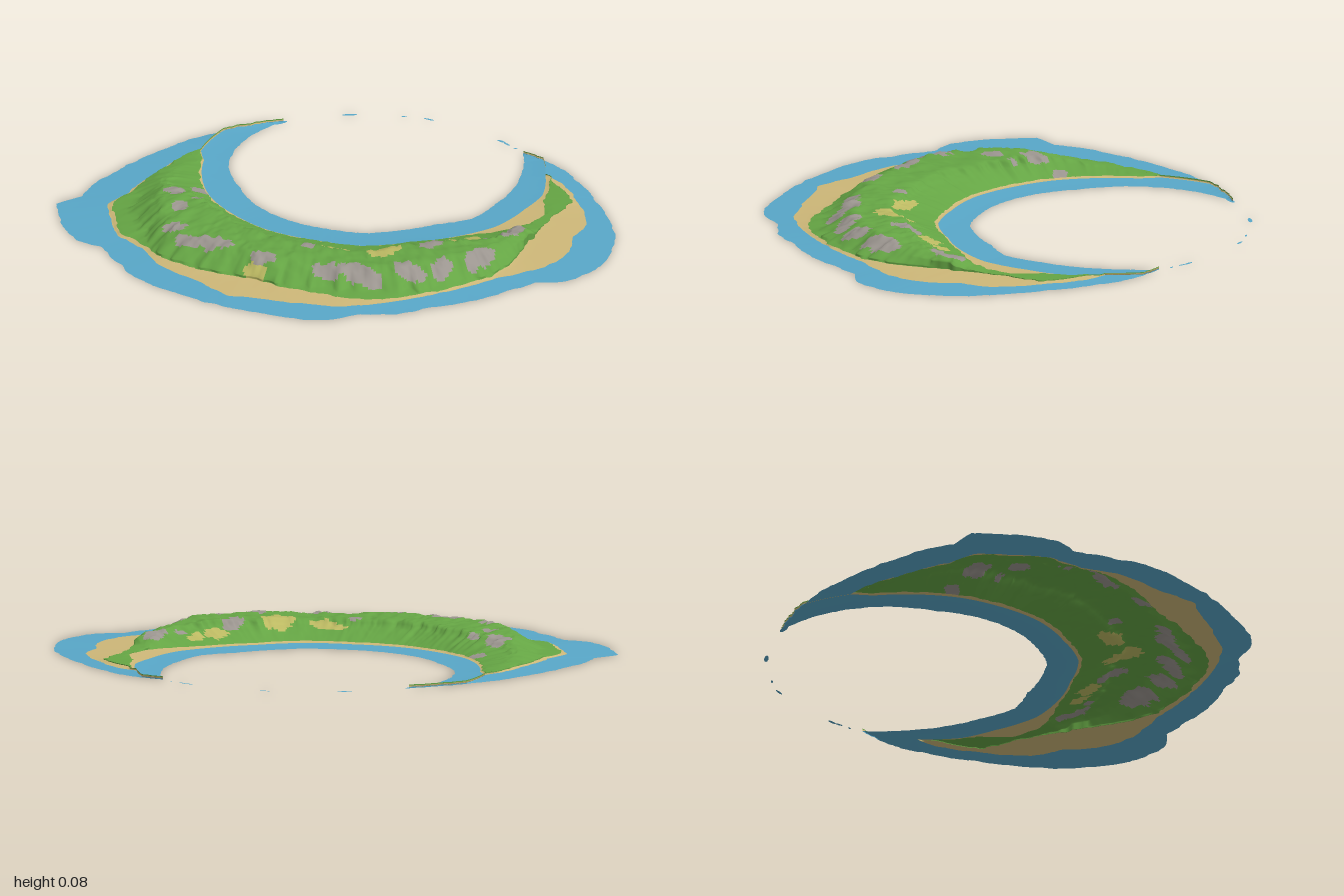
import * as THREE from 'three';

const CX = -0.12, CZ = -0.38; // centre of the lagoon; outlines are radii around it
const { lerp, clamp, degToRad } = THREE.MathUtils;

// Piecewise curve: angle in degrees, value, angle, value...
function curve(...p) {
  return a => {
    if (a <= p[0]) return p[1];
    for (let i = 2; i < p.length; i += 2) {
      if (a <= p[i]) return lerp(p[i - 1], p[i + 1], (a - p[i - 2]) / (p[i] - p[i - 2]));
    }
    return p[p.length - 1];
  };
}

// Smooth value noise in the range -1..1
function hash(x, y) {
  const s = Math.sin(x * 127.1 + y * 311.7) * 43758.5453;
  return (s - Math.floor(s)) * 2 - 1;
}
function noise(x, y) {
  const ix = Math.floor(x), iy = Math.floor(y);
  const u = THREE.MathUtils.smoothstep(x - ix, 0, 1), v = THREE.MathUtils.smoothstep(y - iy, 0, 1);
  return lerp(lerp(hash(ix, iy), hash(ix + 1, iy), u), lerp(hash(ix, iy + 1), hash(ix + 1, iy + 1), u), v);
}

// Outlines of the shallows, the beach and the grass
const waterOuter = curve(-45, .575, -34.6, .67, -25, .737, -13, .84, -4, .944, 2, 1.03, 9, 1.1, 14, 1.147,
  19, 1.17, 24.3, 1.168, 29, 1.12, 35.3, 1.128, 43.3, 1.16, 51.3, 1.18, 57.4, 1.22, 63.5, 1.212, 68.3, 1.272,
  72.4, 1.29, 80.8, 1.268, 90, 1.262, 97.9, 1.252, 104.2, 1.246, 111.4, 1.2, 118.7, 1.17, 123, 1.218,
  130.5, 1.21, 134.3, 1.187, 138.5, 1.178, 140.7, 1.07, 145.2, 1.022, 152, .933, 160.5, .834, 169, .763,
  180, .68, 191.6, .61, 199.8, .568, 205.6, .545);
const waterInner = curve(-45, .575, -31, .55, -16, .535, 1, .524, 18.6, .536, 33.7, .5, 50.6, .505, 63.7, .519,
  79, .507, 100, .505, 115, .502, 136.8, .492, 157.6, .52, 173, .533, 187, .54, 205.6, .545);
const landOuter = curve(-25.5, .634, -20.5, .7, -11, .78, 1.4, .904, 9, .926, 14.7, .99, 20, 1.023, 25.2, 1.029,
  35, 1.02, 42.5, 1.045, 51.6, 1.085, 59, 1.127, 67.6, 1.163, 77, 1.157, 84, 1.165, 87, 1.183, 94.6, 1.132,
  106, 1.107, 113, 1.057, 120.7, 1.07, 128.2, 1.028, 135.4, 1, 139.8, .903, 152, .768, 163.3, .687, 168, .645);
const landInner = curve(-25.5, .634, -10.9, .653, 1, .642, 17.7, .651, 29.8, .635, 47.5, .617, 64.5, .634,
  81, .617, 98.4, .622, 116.8, .617, 131.5, .621, 147.4, .616, 161, .616, 168, .645);
const grassOuter = curve(-21.5, .655, -9, .775, 2.8, .766, 17.6, .83, 29.5, .946, 35.8, 1.01, 42.5, 1.035,
  59, 1.105, 63, 1.1, 70.3, 1.08, 86, 1.02, 99.4, 1.05, 108, 1.069, 113, 1.04, 120.7, 1.052, 128.2, 1.01,
  135.4, .98, 139.8, .885, 152, .755, 163.3, .682, 168, .645);
const grassInner = curve(-21.5, .655, -13, .665, -6, .677, 3, .74, 13.5, .73, 21, .69, 30, .648, 47.5, .629,
  64.5, .646, 81, .629, 98.4, .634, 116.8, .629, 131.5, .631, 147.4, .624, 161, .622, 168, .645);

// Inner and outer edges of the plateau, and its height
const ridgeInner = curve(13, .747, 28.4, .809, 40.6, .796, 52.6, .774, 63.6, .818, 79, .79, 94.7, .778,
  107.7, .74, 122, .726, 135.8, .76, 143.8, .735, 152, .69, 168, .645);
const ridgeOuter = curve(14.4, .795, 31.9, .88, 44.8, .926, 55, .955, 67, .94, 94, .938, 107, .945, 114.6, .924,
  122.4, .868, 133, .81, 143.8, .77, 152, .71, 168, .645);
const ridgeHeight = curve(9, .012, 14, .022, 17, .046, 20, .051, 25, .056, 31, .064, 38, .074, 50, .075,
  60, .07, 72, .067, 80, .074, 110, .075, 124, .074, 130, .067, 136, .05, 142, .035, 150, .022, 160, .013);

// Bare patches: x, z, half width, half depth
const rocks = [[.43, .17, .035, .06], [.05, .405, .03, .025], [-.26, .545, .07, .04], [-.05, .57, .05, .035],
  [-.61, .2, .045, .05], [-.58, .08, .03, .025], [-.45, .5, .04, .035], [.62, -.1, .035, .07], [-.52, .33, .03, .04],
  [.63, .17, .035, .08], [.55, .31, .035, .06], [.46, .4, .06, .04], [.3, .5, .1, .04], [.19, .54, .06, .03],
  [-.36, .56, .05, .03], [.56, .0, .02, .02], [-.5, .23, .02, .02]];
const dry = [[.13, .345, .07, .025], [.3, .29, .06, .07], [.45, .07, .04, .045], [.5, .0, .025, .04],
  [-.05, .63, .06, .03]];
const inPatch = (list, x, z) => list.some(([px, pz, w, d]) =>
  ((x - px) / w) ** 2 + ((z - pz) / d) ** 2 < 1 + 0.55 * noise(x * 42, z * 42));

// Cross-section through the island at one angle: [radius, height] from lagoon to sea
function crossSection(a) {
  const H = ridgeHeight(a), wob = (k, s) => s * noise(a * 0.5, k) + 0.5 * s * noise(a * 1.3, k + 9);
  const wi = waterInner(a) + wob(1, .002), wo = Math.max(wi, waterOuter(a) + wob(2, .005));
  const li = clamp(landInner(a), wi, wo), lo = clamp(landOuter(a) + (landOuter(a) > li ? wob(3, .004) : 0), li, wo);
  const gi = clamp(grassInner(a) + wob(4, .004), li, lo), go = clamp(grassOuter(a) + wob(5, .007), gi, lo);
  const ri = clamp(ridgeInner(a) + wob(6, .014), gi, go), ro = clamp(ridgeOuter(a) + wob(7, .014), ri, go);
  const foot = clamp(ro + .1 + wob(8, .015), ro, go);
  const step = Math.max(gi, ri - .018);
  return [[wi, 0], [li, .003], [gi, .009], [step, lerp(.01, H, .68)], [ri, H * .97], [ro, H],
    [Math.min(foot, ro + .035), lerp(.01, H, .72)], [foot, lerp(.01, H, .13)], [go, .009], [lo, .004], [wo, 0]];
}
const DIVISIONS = [1, 1, 9, 2, 8, 3, 5, 4, 3, 1];
const ZONES = ['water', 'beach', 'grass', 'grass', 'grass', 'grass', 'grass', 'grass', 'beach', 'water'];

export function createModel() {
  const group = new THREE.Group();
  group.name = 'crescentIsland';
  const material = (name, color) => {
    const m = new THREE.MeshStandardMaterial({ color, side: THREE.DoubleSide });
    m.name = name;
    return m;
  };
  const materials = {
    water: material('shallow water blue', 0x58a7c8),
    beach: material('sand', 0xcdb778),
    grass: material('grass green', 0x65a544),
    rock: material('rock grey', 0x9b958f),
    dryGrass: material('dry grass', 0xbcb962),
  };

  // Sweep the cross-section around the lagoon
  const positions = [], all = [], faces = { water: [], beach: [], grass: [], rock: [], dryGrass: [] };
  const STATIONS = 440, row = DIVISIONS.reduce((s, n) => s + n, 1);
  for (let i = 0; i <= STATIONS; i++) {
    const a = lerp(-45, 205.6, i / STATIONS), t = degToRad(a), section = crossSection(a);
    const put = (r, y) => {
      const x = CX + r * Math.cos(t), z = CZ + r * Math.sin(t);
      const rough = Math.max(0, y - .012) * (.09 * noise(x * 25, z * 25) + .06 * noise(x * 60, z * 60));
      positions.push(x, Math.min(.078, y + rough), z);
    };
    put(...section[0]);
    DIVISIONS.forEach((n, b) => {
      const [r0, y0] = section[b], [r1, y1] = section[b + 1];
      for (let k = 1; k <= n; k++) put(lerp(r0, r1, k / n), lerp(y0, y1, k / n));
    });
  }

  // Sort the faces by ground cover
  for (let i = 0; i < STATIONS; i++) {
    let j = i * row;
    DIVISIONS.forEach((n, b) => {
      for (let k = 0; k < n; k++, j++) {
        const x = (positions[j * 3] + positions[(j + row + 1) * 3]) / 2;
        const z = (positions[j * 3 + 2] + positions[(j + row + 1) * 3 + 2]) / 2;
        let zone = ZONES[b];
        if (zone === 'grass') {
          if (inPatch(rocks, x, z)) zone = 'rock';
          else if (inPatch(dry, x, z)) zone = 'dryGrass';
        }
        const quad = [j, j + row, j + 1, j + 1, j + row, j + row + 1];
        faces[zone].push(...quad);
        all.push(...quad);
      }
    });
  }
  const terrain = new THREE.BufferGeometry();
  terrain.setAttribute('position', new THREE.Float32BufferAttribute(positions, 3));
  terrain.setIndex(all);
  terrain.computeVertexNormals();
  for (const [name, index] of Object.entries(faces)) {
    terrain.setIndex(index);
    const mesh = new THREE.Mesh(terrain.toNonIndexed(), materials[name]);
    mesh.name = name;
    group.add(mesh);
  }

  // Small slivers of reef closing the ring: x, z, half length, half width, turn
  [[-.155, -.885, .022, .005, 0], [-.247, -.862, .011, .004, .4], [-.428, -.782, .028, .008, .6],
    [.165, -.845, .02, .006, -.2], [.195, -.833, .016, .005, -.4], [.24, -.815, .009, .004, 0],
    [-.618, -.6, .03, .01, .95]].forEach(([x, z, l, w, turn]) => {
    const reef = new THREE.Mesh(new THREE.CircleGeometry(1, 12).rotateX(-Math.PI / 2), materials.water);
    reef.name = 'reef';
    reef.scale.set(l, 1, w);
    reef.rotation.y = turn;
    reef.position.set(x, 0, z);
    group.add(reef);
  });
  return group;
}
